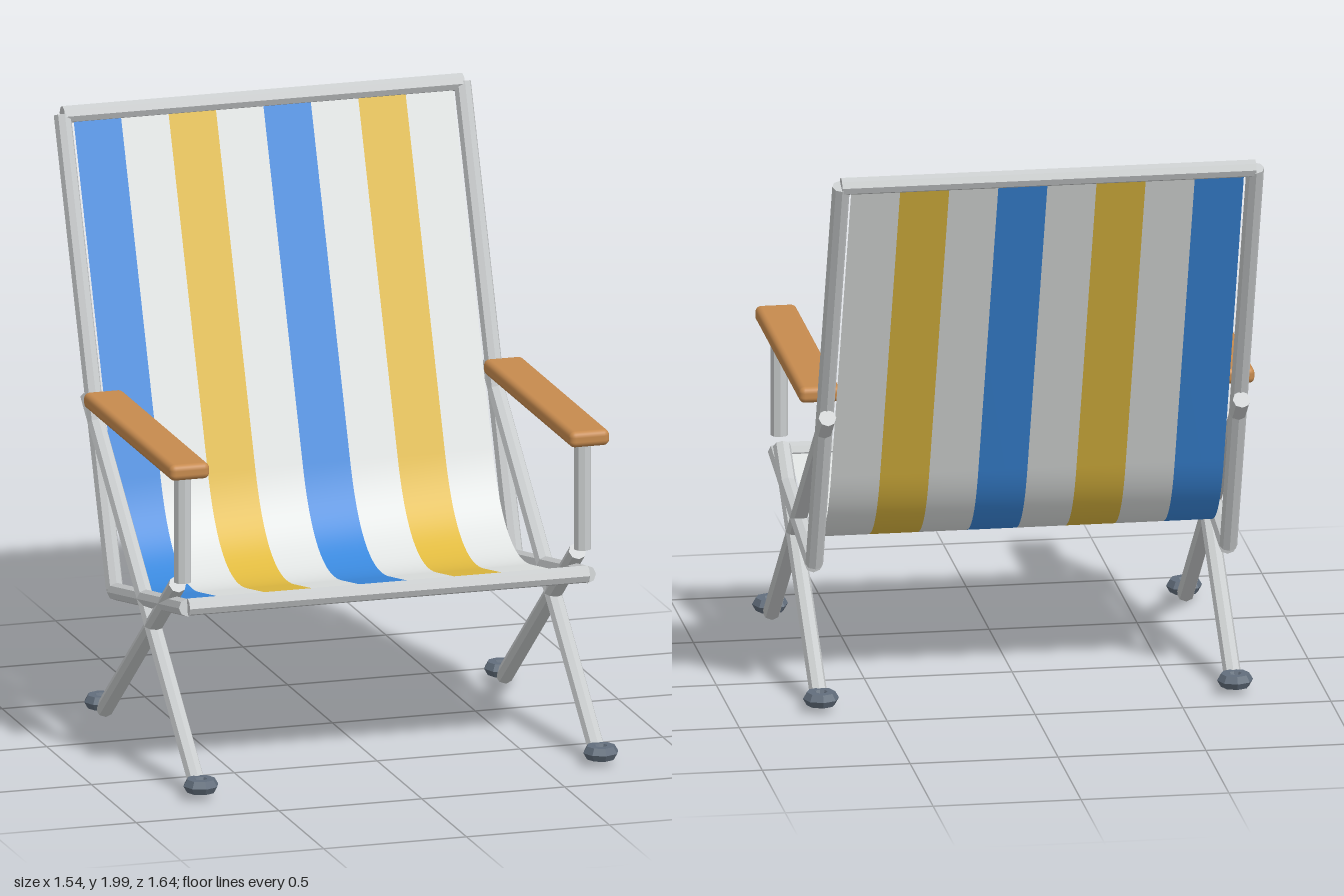
import * as THREE from 'three';
import { RoundedBoxGeometry } from 'three/addons/geometries/RoundedBoxGeometry.js';

const mat = (name, color, extra = {}) => {
  const m = new THREE.MeshStandardMaterial({ color, ...extra });
  m.name = name;
  return m;
};

export function createModel() {
  const chair = new THREE.Group();
  chair.name = 'deckChair';

  const metal = mat('aluminium', 0xc9cccd, { flatShading: true });
  const wood = mat('wood', 0xc68a4e);
  const rubber = mat('rubber', 0x626e7c, { flatShading: true });
  const cloth = { side: THREE.DoubleSide };
  const blue = mat('blueCloth', 0x3a88dc, cloth);
  const yellow = mat('yellowCloth', 0xe0ba40, cloth);
  const white = mat('whiteCloth', 0xdfe2e1, cloth);

  const add = (name, geometry, material, x = 0, y = 0, z = 0) => {
    const mesh = new THREE.Mesh(geometry, material);
    mesh.name = name;
    mesh.position.set(x, y, z);
    chair.add(mesh);
    return mesh;
  };

  // Straight tube between two points
  const R = 0.03;
  const tube = (name, a, b) => {
    const p = new THREE.Vector3(...a), q = new THREE.Vector3(...b);
    const dir = q.clone().sub(p);
    const mesh = add(name, new THREE.CylinderGeometry(R, R, dir.length(), 8), metal);
    mesh.position.copy(p).add(q).multiplyScalar(0.5);
    mesh.quaternion.setFromUnitVectors(new THREE.Vector3(0, 1, 0), dir.normalize());
  };

  // Side frames, mirrored
  const X = 0.7;
  for (const [side, s] of [['left', 1], ['right', -1]]) {
    const x = s * X;
    tube(side + 'BackRail', [x, 0.48, -0.2], [x, 1.97, -0.785]);
    tube(side + 'SeatRail', [x, 0.475, -0.19], [x, 0.63, 0.615]);
    tube(side + 'LongLeg', [x, 0.035, 0.735], [x, 1.074, -0.488]);
    tube(side + 'ShortLeg', [x, 0.035, -0.315], [x, 0.682, 0.504]);
    tube(side + 'ArmPost', [x, 0.705, 0.56], [x, 1.1, 0.56]);
    add(side + 'Armrest', new RoundedBoxGeometry(0.14, 0.055, 0.985, 3, 0.02), wood, x, 1.107, 0.158);
    // Ring feet around the leg ends
    for (const [end, z] of [['Front', 0.765], ['Rear', -0.345]]) {
      const foot = add(side + end + 'Foot', new THREE.TorusGeometry(0.035, 0.026, 6, 8), rubber, x, 0.055, z);
      foot.rotation.x = Math.PI / 2;
    }
  }

  // Cross bars
  tube('topBar', [-X, 1.97, -0.785], [X, 1.97, -0.785]);
  tube('frontBar', [-X, 0.632, 0.615], [X, 0.632, 0.615]);

  // Cloth profile (z, y): straight seat, curved sag, straight back
  const sag = new THREE.QuadraticBezierCurve(
    new THREE.Vector2(0.1, 0.532), new THREE.Vector2(-0.2, 0.475), new THREE.Vector2(-0.333, 0.82));
  const profile = [new THREE.Vector2(0.615, 0.632), ...sag.getPoints(20), new THREE.Vector2(-0.782, 1.97)];

  // Striped cloth, one strip per colour band
  const half = 0.664, bands = [blue, white, yellow, white, blue, white, yellow, white];
  const w = (2 * half) / bands.length;
  bands.forEach((material, i) => {
    const strip = new THREE.PlaneGeometry(w, 1, 1, profile.length - 1);
    const pos = strip.attributes.position;
    for (let k = 0; k < pos.count; k++) {
      const p = profile[profile.length - 1 - Math.floor(k / 2)];
      pos.setXYZ(k, pos.getX(k), p.y, p.x);
    }
    strip.computeVertexNormals();
    add('clothStripe' + (i + 1), strip, material, -half + w * (i + 0.5));
  });

  return chair;
}
